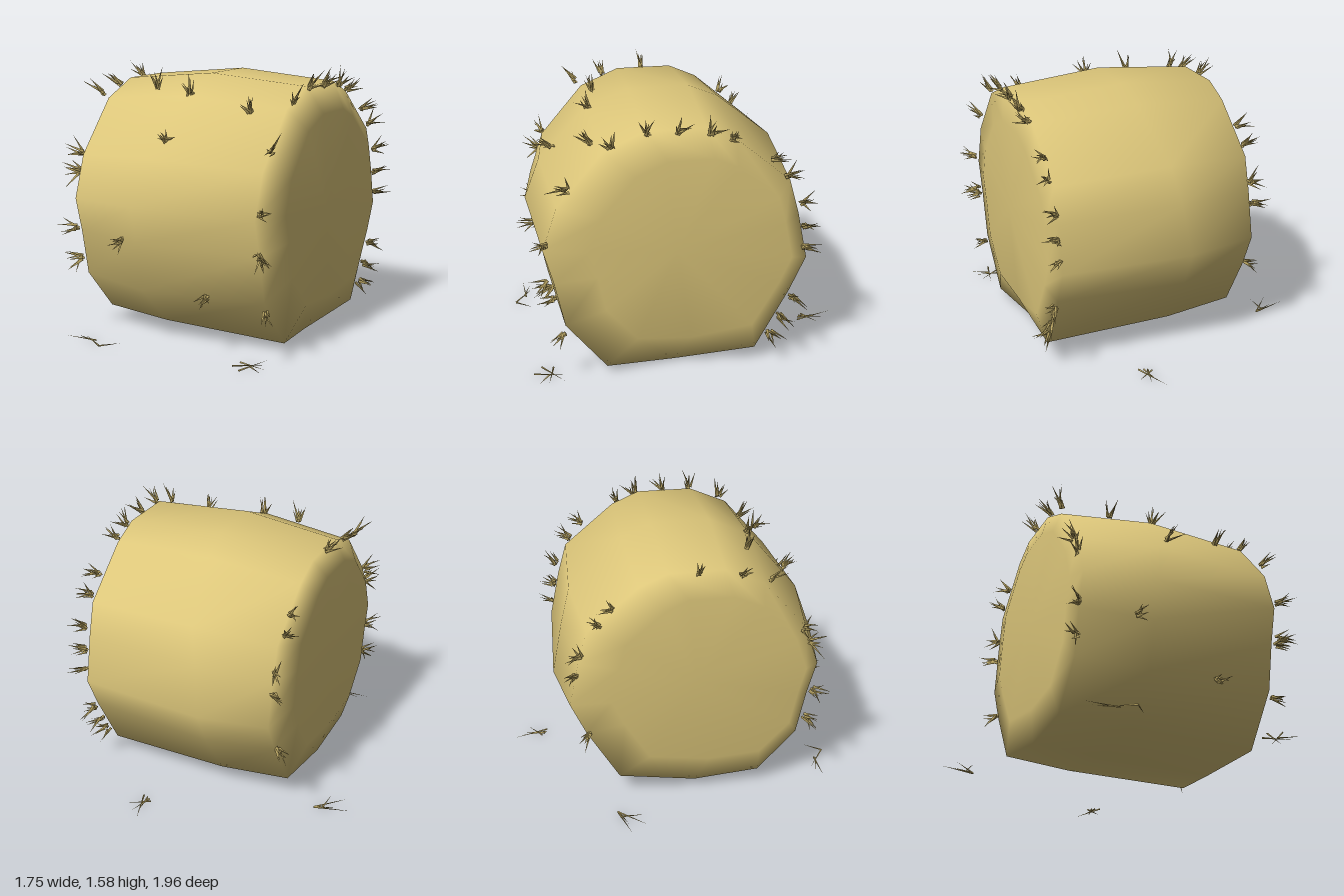
import * as THREE from 'three';
import { mergeGeometries } from 'three/addons/utils/BufferGeometryUtils.js';

const hay = new THREE.MeshStandardMaterial({ color: 0xdcc67a });
hay.name = 'hay';
const straw = new THREE.MeshStandardMaterial({ color: 0xcab46c });
straw.name = 'straw';

// Uneven round outline of the bale as [z, y], bottom -> front -> top -> back
const outline = [
  [0.09, 0.035], [0.52, 0.07], [0.77, 0.31], [0.83, 0.6], [0.89, 0.82], [0.8, 1.09], [0.52, 1.42], [0.27, 1.53],
  [-0.09, 1.53], [-0.27, 1.45], [-0.6, 1.17], [-0.66, 0.95], [-0.72, 0.65], [-0.62, 0.43], [-0.41, 0.11],
];
const CY = 0.78, CZ = 0.09;

// Cross-sections along x: position, scale, scale of the lower part, x of the lowest point,
// shift along z, and lean of the upper half along x
const rings = [
  { x: -0.505, s: 0.72, low: 0.74, xLow: -0.5, dz: 0.08, lean: 0 },
  { x: -0.455, s: 0.92, low: 0.97, xLow: -0.455, dz: 0, lean: 0 },
  { x: -0.03, s: 1, low: 1, xLow: -0.03, dz: 0, lean: 0.22 },
  { x: 0.75, s: 0.94, low: 1.03, xLow: 0.67, dz: 0, lean: 0 },
  { x: 0.8, s: 0.72, low: 0.76, xLow: 0.79, dz: -0.08, lean: 0 },
];

function baleGeometry() {
  const pos = [], index = [], n = outline.length;
  for (const r of rings) {
    outline.forEach(([z, y], j) => {
      const sy = y < 0.2 ? r.low : r.s;
      const x = (j === 0 ? r.xLow : r.x) + r.lean * Math.max(0, y - CY);
      pos.push(x, CY + (y - CY) * sy, CZ + r.dz + (z - CZ) * r.s);
    });
  }
  for (let i = 0; i < rings.length - 1; i++) {
    for (let j = 0; j < n; j++) {
      const k = (j + 1) % n;
      const a = i * n + j, b = i * n + k, c = a + n, d = b + n;
      index.push(a, c, d, a, d, b);
    }
  }
  // flat ends
  const last = (rings.length - 1) * n, c0 = pos.length / 3;
  pos.push(-0.507, CY, CZ, 0.802, CY, CZ);
  for (let j = 0; j < n; j++) {
    const k = (j + 1) % n;
    index.push(c0, j, k, c0 + 1, last + k, last + j);
  }
  const g = new THREE.BufferGeometry();
  g.setAttribute('position', new THREE.Float32BufferAttribute(pos, 3));
  g.setIndex(index);
  g.computeVertexNormals();
  return g;
}

let seed = 7;
function rand(a, b) {
  seed = (seed * 16807) % 2147483647;
  return a + (b - a) * (seed / 2147483647);
}
const jitter = (d) => new THREE.Vector3(rand(-d, d), rand(-d, d), rand(-d, d));

// One tapering straw from a base point along a direction
const UP = new THREE.Vector3(0, 1, 0);
function blade(base, dir, length, radius) {
  const g = new THREE.ConeGeometry(radius, length, 3);
  g.translate(0, length / 2, 0);
  g.applyQuaternion(new THREE.Quaternion().setFromUnitVectors(UP, dir.clone().normalize()));
  return g.translate(base.x, base.y, base.z);
}

// A fan of straws sticking out of the bale; side is -1, 0 or 1 along x
function tuft(x, y, z, side) {
  const base = new THREE.Vector3(x, y, z);
  const out = new THREE.Vector3(0, y - CY, z - CZ).normalize();
  out.x = side * 0.9;
  out.normalize();
  const blades = [];
  for (let i = 0; i < 7; i++) {
    const dir = out.clone().add(jitter(0.55));
    blades.push(blade(base.clone().add(jitter(0.015)), dir, rand(0.07, 0.125), 0.01));
  }
  return mergeGeometries(blades);
}

export function createModel() {
  const model = new THREE.Group();
  const add = (name, geometry, material) => {
    const mesh = new THREE.Mesh(geometry, material);
    mesh.name = name;
    model.add(mesh);
  };

  add('bale', baleGeometry(), hay);

  // tufts round each rim as [y, z]
  const rightEnd = [[1.46, 0.1], [1.43, 0.35], [1.4, 0.52], [1.18, -0.48], [1.07, 0.73], [0.99, -0.59], [0.97, 0.77],
    [0.86, -0.62], [0.64, 0.8], [0.45, -0.55], [1.28, -0.4], [0.45, 0.76]];
  const leftEnd = [[1.48, 0.25], [1.48, 0.08], [1.46, -0.1], [1.43, -0.22], [1.42, 0.45], [1.28, -0.45], [1.18, 0.7],
    [1.18, -0.53], [1.01, -0.62], [0.86, 0.83], [0.86, -0.64], [0.74, -0.65], [0.63, 0.82], [0.6, 0.8],
    [0.42, -0.58], [0.3, -0.52], [0.2, -0.46], [0.3, 0.74]];
  add('rightRimTufts', mergeGeometries(rightEnd.map(([y, z]) => tuft(-0.465, y, z, -1))), straw);
  add('leftRimTufts', mergeGeometries(leftEnd.map(([y, z]) => tuft(0.765, y, z, 1))), straw);

  // tufts on the rounded side
  const sides = [[-0.13, 1.45, 0.45], [0.13, 1.42, 0.5], [0.54, 1.36, 0.54], [0.11, 1.19, 0.72],
    [-0.13, 0.61, 0.83], [0.4, 0.33, 0.76]];
  add('sideTufts', mergeGeometries(sides.map(([x, y, z]) => tuft(x, y, z, 0))), straw);

  // loose straws lying on the ground, from [x, z] to [x, z]
  const loose = [
    [-0.65, -0.41, -0.87, -0.35], [-0.65, -0.41, -0.8, -0.25], [-0.7, -0.4, -0.7, -0.25], [-0.66, -0.4, -0.78, -0.36],
    [0.33, -0.76, 0.25, -0.99], [0.28, -0.78, 0.32, -0.93], [0.26, -0.8, 0.38, -0.88], [0.3, -0.77, 0.28, -0.92],
    [-0.27, 0.9, -0.48, 0.91], [-0.2, 0.97, -0.38, 0.85], [-0.2, 0.97, -0.12, 0.87], [-0.28, 0.91, -0.42, 0.87],
    [0.64, 0.8, 0.82, 0.84], [0.7, 0.92, 0.75, 0.7], [0.63, 0.87, 0.8, 0.75], [0.72, 0.83, 0.82, 0.9],
  ].map(([x0, z0, x1, z1]) => {
    const dir = new THREE.Vector3(x1 - x0, 0, z1 - z0);
    return blade(new THREE.Vector3(x0, 0.007, z0), dir, dir.length(), 0.006);
  });
  add('looseStraws', mergeGeometries(loose), straw);
  return model;
}
